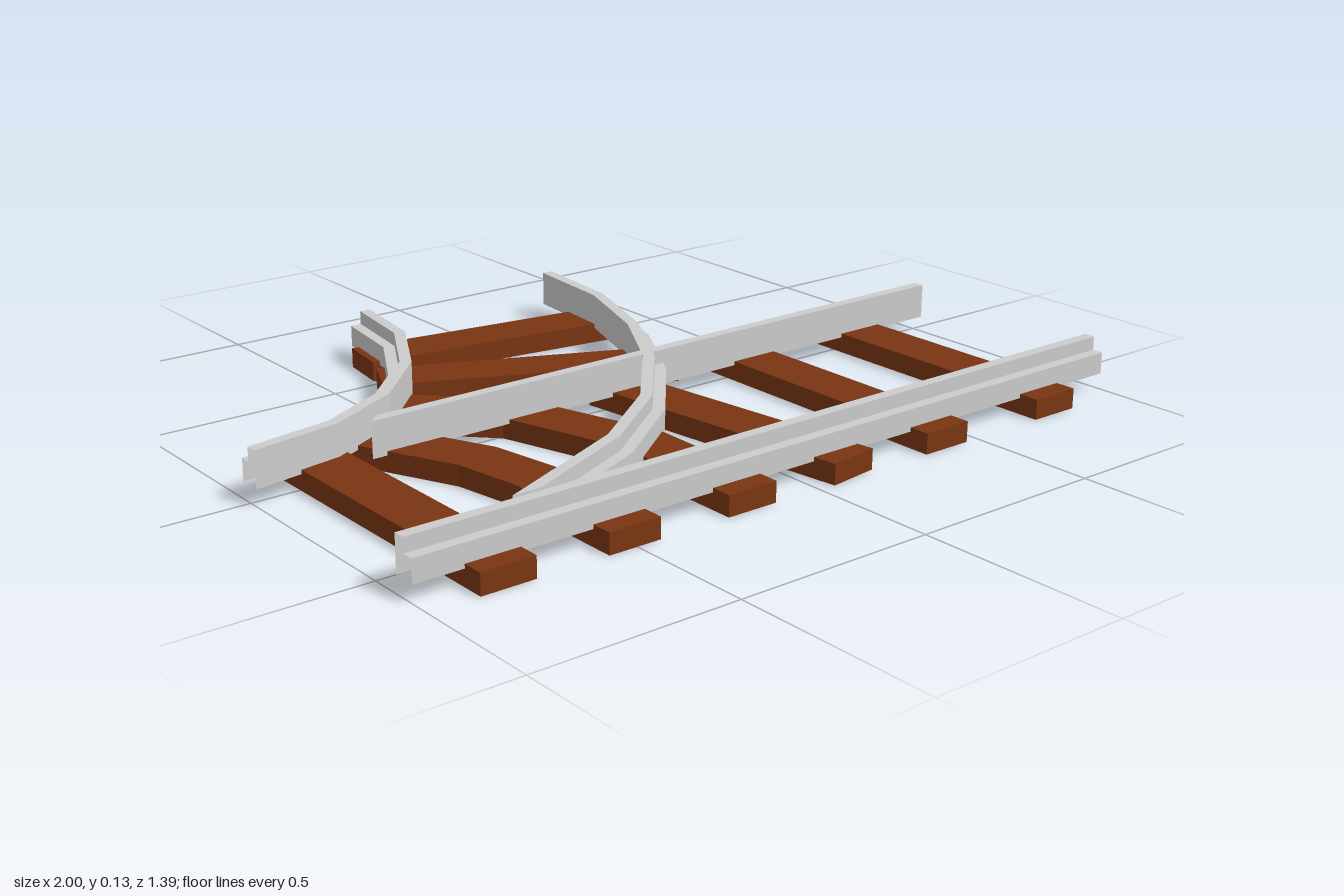
import * as THREE from 'three';

const steel = new THREE.MeshStandardMaterial({ color: 0xcccccc, side: THREE.DoubleSide });
const wood = new THREE.MeshStandardMaterial({ color: 0x7a3512, side: THREE.DoubleSide });

// Cross-sections as [sideways offset, height]; both are open underneath
const RAIL = [[-0.028, 0.04], [-0.028, 0.128], [0, 0.128], [0, 0.094], [0.028, 0.094], [0.028, 0.04]];
const SLEEPER = [[-0.066, 0], [-0.066, 0.05], [0.066, 0.05], [0.066, 0]];

const mirrored = (profile) => profile.map(([o, h]) => [-o, h]).reverse();

// Sideways vector at path point i: mitred at bends, or along a given cut at an end
function lateral(path, i, cut) {
  const dir = (k) => path[k + 1].clone().sub(path[k]).normalize();
  const before = dir(Math.max(i - 1, 0));
  const after = dir(Math.min(i, path.length - 2));
  const normal = new THREE.Vector2(-before.y, before.x);
  const side = cut
    ? new THREE.Vector2(...cut)
    : normal.clone().add(new THREE.Vector2(-after.y, after.x));
  return side.divideScalar(side.dot(normal));
}

// Sweep a profile along a ground path of [x, z] points with flat facets
function sweep(points, profile, { startCut, endCut, caps } = {}) {
  const path = points.map(([x, z]) => new THREE.Vector2(x, z));
  const last = path.length - 1;
  const rings = path.map((p, i) => {
    const cut = i === 0 ? startCut : i === last ? endCut : null;
    const side = lateral(path, i, cut);
    return profile.map(([o, h]) => [p.x + side.x * o, h, p.y + side.y * o]);
  });
  const positions = [];
  const quad = (a, b, c, d) => positions.push(...a, ...b, ...c, ...a, ...c, ...d);
  for (let i = 0; i < last; i++) {
    for (let j = 0; j < profile.length - 1; j++) {
      quad(rings[i][j], rings[i][j + 1], rings[i + 1][j + 1], rings[i + 1][j]);
    }
  }
  if (caps) {
    quad(...[...rings[0]].reverse());
    quad(...rings[last]);
  }
  const geometry = new THREE.BufferGeometry();
  geometry.setAttribute('position', new THREE.Float32BufferAttribute(positions, 3));
  geometry.computeVertexNormals();
  return geometry;
}

export function createModel() {
  const model = new THREE.Group();
  const add = (parent, name, geometry, material) => {
    const mesh = new THREE.Mesh(geometry, material);
    mesh.name = name;
    parent.add(mesh);
  };

  // Rails: the low ledge lies on the outside of each track
  const rails = new THREE.Group();
  rails.name = 'rails';
  model.add(rails);
  add(rails, 'frontStraightRail', sweep([[-1, 0.605], [1, 0.605]], RAIL), steel);
  add(rails, 'backStraightRail',
    sweep([[-0.685, 0], [1, 0]], mirrored(RAIL), { startCut: [-1.05, 1] }), steel);
  add(rails, 'outerCurvedRail', sweep(
    [[-1, 0], [-0.785, -0.035], [-0.6, -0.13], [-0.445, -0.285], [-0.335, -0.485], [-0.305, -0.695]],
    mirrored(RAIL), { startCut: [0, 1], endCut: [1, 0] }), steel);
  add(rails, 'innerCurvedRail', sweep(
    [[-0.65, 0.565], [-0.345, 0.432], [-0.125, 0.27], [0.06, 0.05], [0.19, -0.175], [0.28, -0.435], [0.302, -0.695]],
    RAIL, { startCut: [1, 0], endCut: [1, 0] }), steel);

  // Sleepers: straight, slanted and bent to follow the diverging track
  const sleepers = new THREE.Group();
  sleepers.name = 'sleepers';
  model.add(sleepers);
  const sleeperPaths = [
    [[-0.815, 0.685], [-0.815, -0.095]],
    [[-0.505, 0.685], [-0.505, 0.355], [-0.537, 0.175], [-0.687, -0.152]],
    [[-0.19, 0.685], [-0.19, 0.315], [-0.297, -0.025], [-0.537, -0.27]],
    [[0.107, 0.683], [0.005, -0.058]],
    [[0.4, 0.685], [0.4, -0.06]],
    [[0.77, 0.685], [0.77, -0.06]],
    [[-0.422, -0.417], [0.25, -0.115]],
    [[-0.367, -0.588], [0.367, -0.487]],
  ];
  sleeperPaths.forEach((path, i) =>
    add(sleepers, `sleeper${i + 1}`, sweep(path, SLEEPER, { caps: true }), wood));

  return model;
}
